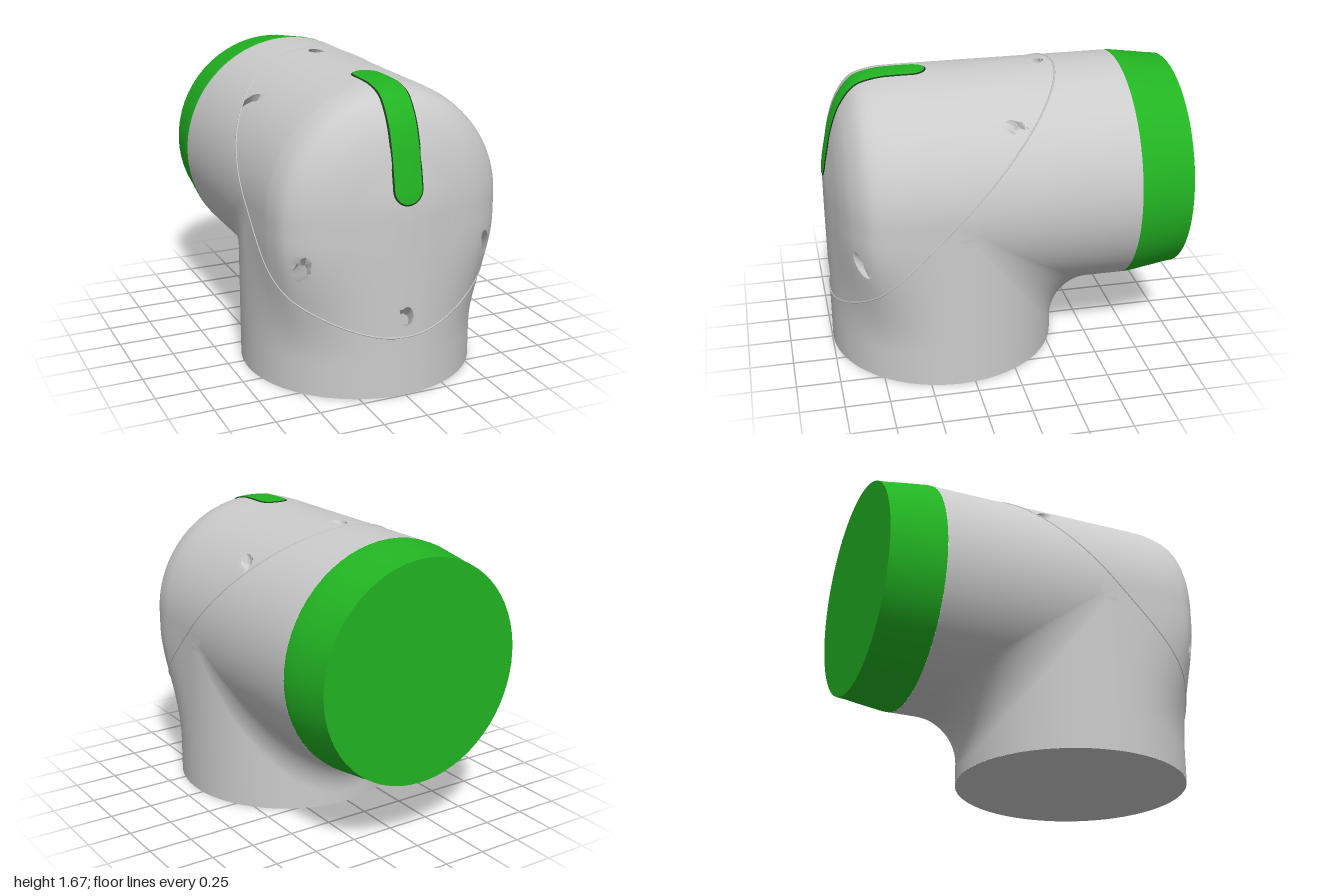
import * as THREE from 'three';
import { mergeGeometries, toCreasedNormals } from 'three/addons/utils/BufferGeometryUtils.js';
import { ParametricGeometry } from 'three/addons/geometries/ParametricGeometry.js';

const R = 0.66, CY = 1, CZ = 0.335, SEAM = CY + CZ;
const { PI, sin, cos, sqrt } = Math;
const V = (x, y, z = 0) => new THREE.Vector3(x, y, z);

// Half profile of the rounded nose: (radius, z), from the barrel to the tip
const profile = new THREE.CatmullRomCurve3([
  [0.66, CZ], [0.66, 0.6], [0.655, 0.68], [0.62, 0.8], [0.52, 0.885],
  [0.4, 0.935], [0.25, 0.97], [0.12, 0.993], [0, 1],
].map(([r, z]) => V(r, z)));

// Front outline of the neck at height y: a circle at the foot, the nose outline higher up
function neckFront(p, y) {
  const k = THREE.MathUtils.smoothstep(y, 0.2, 0.9);
  const n = profile.getPointAt(p), a = p * PI / 2;
  return V(R * cos(a), CZ + R * sin(a)).lerp(n, k);
}

function neckPoint(u, y, out) {
  const h = u * 2;
  if (h <= 1) {
    const s = h < 0.5 ? -1 : 1;
    const q = neckFront(h < 0.5 ? 2 * h : 2 * (1 - h), y);
    out.set(s * q.x, y, q.y);
  } else {
    const b = (h - 1) * PI;
    out.set(R * cos(b), y, CZ - R * sin(b));
  }
}

// Screw holes, sunk along the normal of the seam plane
const AXIS = V(0, 1, 1).normalize();
const HOLES = [
  V(0, 0.45, 0.99), V(0.54, 0.72, 0.82), V(-0.54, 0.72, 0.82),
  V(0, 1.66, -0.225), V(0.48, 1.455, -0.02), V(-0.48, 1.455, -0.02),
];

function sinkHoles(geo) {
  const pos = geo.attributes.position, nor = geo.attributes.normal;
  const p = V(0, 0), n = V(0, 0);
  for (let i = 0; i < pos.count; i++) {
    p.fromBufferAttribute(pos, i);
    n.fromBufferAttribute(nor, i);
    const tilt = n.dot(AXIS);
    if (!(tilt > 0.2)) continue;
    for (const c of HOLES) {
      const e = p.clone().sub(c), along = e.dot(AXIS);
      e.addScaledVector(AXIS, -along);
      const d = e.length();
      if (d > 0.05 || Math.abs(along) > 0.2) continue;
      // Gather vertices into a rim ring and a floor ring, sliding along the surface
      const target = d > 0.03 ? 0.04 : d > 0.012 ? 0.036 : d;
      const move = e.multiplyScalar(d > 0 ? target / d - 1 : 0);
      move.addScaledVector(AXIS, -move.dot(n) / tilt);
      p.add(move);
      if (d <= 0.03) p.addScaledVector(AXIS, -0.07);
      pos.setXYZ(i, p.x, p.y, p.z);
      break;
    }
  }
  return geo;
}

function housing() {
  const lathed = (a, r, z, out) => out.set(r * cos(a), CY + r * sin(a), z);
  const barrel = new ParametricGeometry((u, v, o) =>
    lathed(u * 2 * PI, R, THREE.MathUtils.lerp(-0.69, CZ, v), o), 200, 50);
  const nose = new ParametricGeometry((u, v, o) => {
    const q = profile.getPointAt(v);
    lathed(u * PI, q.x, q.y, o);
  }, 100, 50);
  const neck = new ParametricGeometry(neckPoint, 200, 50);
  return toCreasedNormals(mergeGeometries([barrel, nose, neck].map(sinkHoles)), 0.6);
}

// Concave blend between the neck and the barrel
function fillet() {
  return new ParametricGeometry((u, v, o) => {
    const phi = (u - 0.5) * PI * 0.98, d = R * cos(phi), f = 0.27 * cos(phi), a = v * PI / 2;
    o.set(R * sin(phi), CY - d - f + f * cos(a), CZ - d - f + f * sin(a));
  }, 48, 12);
}

// Closed line where the elbow cap meets the body
function seam() {
  const half = [];
  for (let i = 0; i <= 24; i++) {
    const a = PI / 2 - i / 24 * PI / 2;
    half.push(V(R * cos(a), CY + R * sin(a), CZ - R * sin(a)));
  }
  for (let i = 1; i <= 24; i++) {
    const y = CY - R * sin(i / 24 * PI / 2), z = SEAM - y;
    let lo = 0, hi = 1;
    for (let k = 0; k < 24; k++) {
      const mid = (lo + hi) / 2;
      if (neckFront(mid, y).y < z) lo = mid; else hi = mid;
    }
    half.push(V(neckFront(lo, y).x, y, z));
  }
  const mirror = half.slice(1, -1).reverse().map((p) => V(-p.x, p.y, p.z));
  return new THREE.TubeGeometry(new THREE.CatmullRomCurve3([...half, ...mirror], true), 160, 0.005, 5, true);
}

// Round-ended strip draped over the nose along its centre line
function strip(halfWidth, lift) {
  const L = profile.getLength(), grow = halfWidth - 0.08;
  const s0 = 0.065 - grow, len = L - 0.08 + grow - s0;
  return new ParametricGeometry((u, v, o) => {
    const s = (1 - cos(v * PI)) / 2 * len;
    const e = Math.min(s, len - s, halfWidth);
    const x = (u * 2 - 1) * sqrt(Math.max(0, halfWidth ** 2 - (halfWidth - e) ** 2));
    const t = (s0 + s) / L, q = profile.getPointAt(t), d = profile.getTangentAt(t);
    const h = lift - x * x / (2 * R);
    o.set(x, CY + q.x + d.y * h, q.y - d.x * h);
  }, 8, 64);
}

export function createModel() {
  const group = new THREE.Group();
  const grey = new THREE.MeshStandardMaterial({ color: 0xcccccc });
  const green = new THREE.MeshStandardMaterial({ color: 0x22b422, side: THREE.DoubleSide });
  const rim = new THREE.MeshStandardMaterial({ color: 0x1c3a1c, side: THREE.DoubleSide });
  const add = (name, geo, mat) => {
    const mesh = new THREE.Mesh(geo, mat);
    mesh.name = name;
    group.add(mesh);
    return mesh;
  };

  add('housing', housing(), grey);
  add('innerFillet', fillet(), grey);
  add('capSeam', seam(), grey);
  add('base', new THREE.CircleGeometry(R, 64).rotateX(PI / 2), grey).position.z = CZ;

  // Indicator strip in its dark gap
  add('stripGap', strip(0.087, 0.003), rim);
  add('indicatorStrip', strip(0.078, 0.007), green);

  // Tapered end collar and its flat lid
  const collar = [[0.66, 0.69], [0.66, 0.72], [0.652, 0.78], [0.638, 0.88], [0.627, 0.95], [0.622, 1]]
    .map(([r, y]) => new THREE.Vector2(r, y));
  add('endCollar', new THREE.LatheGeometry(collar, 64).rotateX(-PI / 2), green).position.y = CY;
  add('endLid', new THREE.CircleGeometry(0.622, 64).rotateY(PI), green).position.set(0, CY, -1);
  return group;
}
